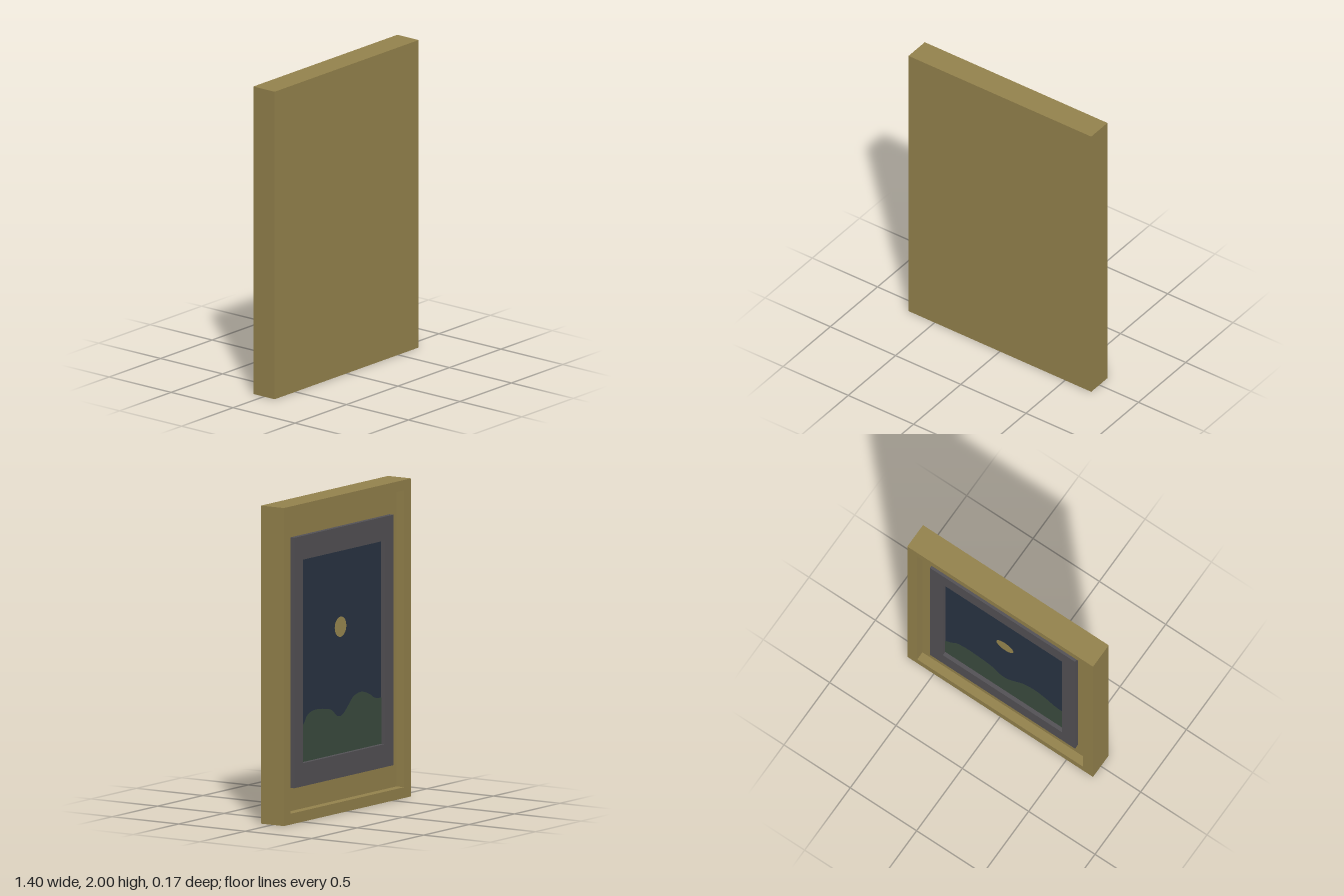
import * as THREE from 'three';

const mat = (name, color) => {
  const m = new THREE.MeshStandardMaterial({ color });
  m.name = name;
  return m;
};

// Rectangle outline from half width and bottom/top heights
const rect = (Type, hw, y0, y1) => new Type().moveTo(-hw, y0).lineTo(hw, y0).lineTo(hw, y1).lineTo(-hw, y1).closePath();

// Rectangular frame with a rectangular opening, between two depths
function ring(outer, inner, z0, z1) {
  const shape = rect(THREE.Shape, ...outer);
  shape.holes.push(rect(THREE.Path, ...inner));
  return new THREE.ExtrudeGeometry(shape, { depth: z1 - z0, bevelEnabled: false }).translate(0, 0, z0);
}

export function createModel() {
  const wood = mat('wood', 0x95834d);
  const grey = mat('greyMount', 0x545256);
  const night = mat('nightSky', 0x293444);
  const green = mat('hillGreen', 0x3c4d40);
  const gold = mat('moonGold', 0x9b8a51);

  const model = new THREE.Group();
  model.name = 'framedPicture';
  const add = (name, geometry, material, z = 0) => {
    const mesh = new THREE.Mesh(geometry, material);
    mesh.name = name;
    mesh.position.z = z;
    model.add(mesh);
  };

  // Wooden case: raised rim around a shallow recess, closed by a solid panel
  const D = 0.086, floor = 0.029;
  add('outerRim', ring([0.7, 0, 2], [0.625, 0.068, 1.935], floor, D), wood);
  add('panel', new THREE.BoxGeometry(1.4, 2, floor + D).translate(0, 1, (floor - D) / 2), wood);

  // Grey inner frame
  add('innerFrame', ring([0.547, 0.215, 1.79], [0.45, 0.36, 1.64], floor, 0.06), grey);

  // Picture: sky, hills and moon as thin layers
  add('sky', new THREE.ShapeGeometry(rect(THREE.Shape, 0.45, 0.36, 1.64)), night, floor + 0.003);

  const crest = [
    [-0.45, 0.56], [-0.40, 0.605], [-0.36, 0.652], [-0.27, 0.672], [-0.11, 0.65], [-0.04, 0.602], [0.02, 0.6],
    [0.09, 0.655], [0.145, 0.7], [0.23, 0.717], [0.32, 0.69], [0.375, 0.66], [0.45, 0.65],
  ].map(([x, y]) => new THREE.Vector2(x, y));
  const hills = new THREE.Shape().moveTo(0.45, 0.36).lineTo(-0.45, 0.36).lineTo(-0.45, 0.56);
  hills.splineThru(crest.slice(1));
  add('hills', new THREE.ShapeGeometry(hills, 4), green, floor + 0.005);

  add('moon', new THREE.CircleGeometry(0.064, 32).translate(0, 1.156, 0), gold, floor + 0.005);

  // The picture side looks towards the back
  model.rotation.y = Math.PI;
  const root = new THREE.Group();
  root.name = 'wallPicture';
  root.add(model);
  return root;
}
